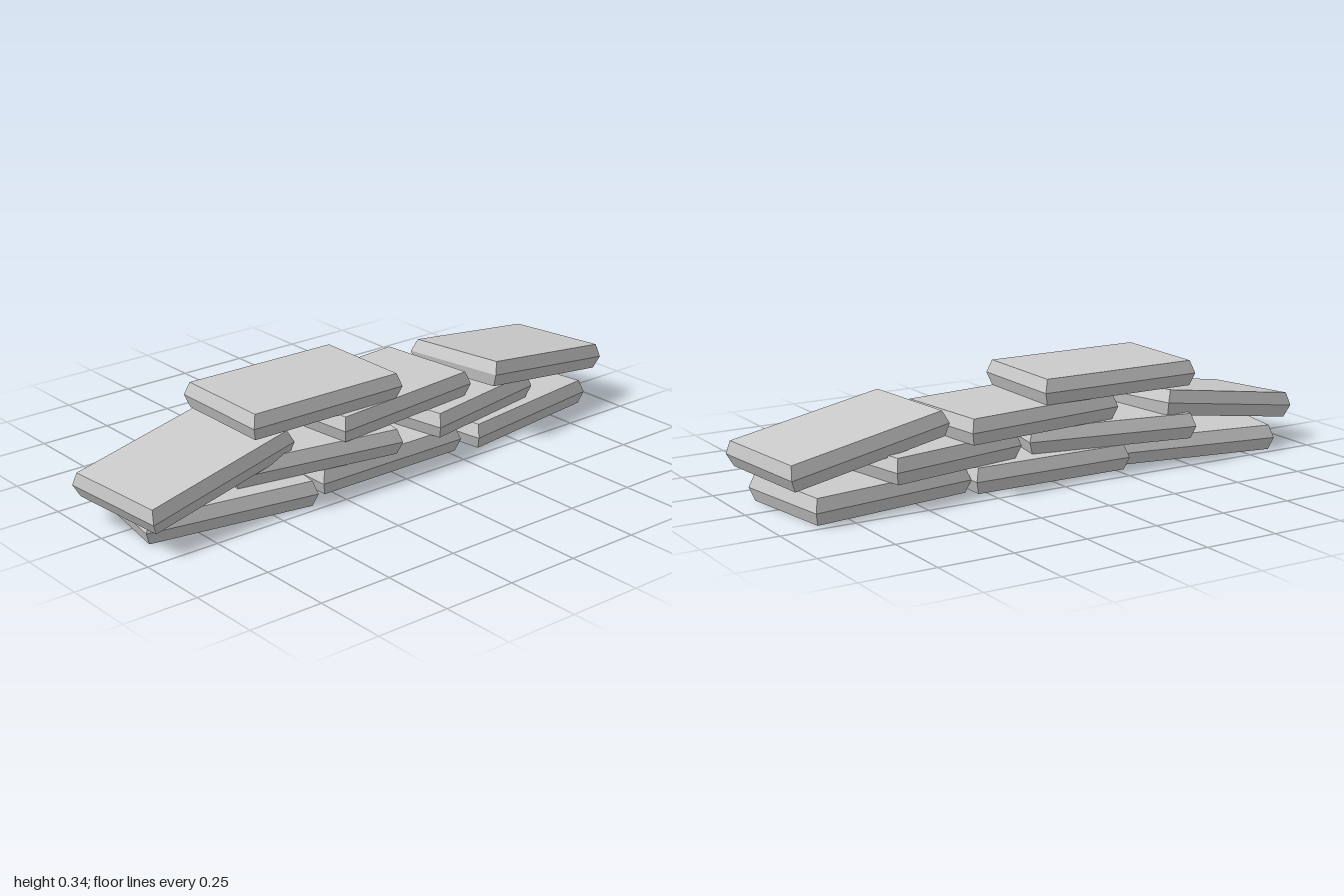
import * as THREE from 'three';

const WIDTH = 0.378, HEIGHT = 0.085, INSET = 0.014;

// Open-bottomed bag shell: three rectangular rings (the middle one widest) and a flat top.
function bagGeometry(length) {
  const ring = (y, inset) => {
    const x = length / 2 - inset, z = WIDTH / 2 - inset;
    return [[-x, y, z], [x, y, z], [x, y, -z], [-x, y, -z]];
  };
  const rings = [ring(-HEIGHT / 2, INSET), ring(0, 0), ring(HEIGHT / 2, INSET)];
  const positions = [];
  const quad = (a, b, c, d) => positions.push(...a, ...b, ...c, ...a, ...c, ...d);
  for (let r = 0; r < 2; r++) {
    for (let i = 0; i < 4; i++) {
      const j = (i + 1) % 4;
      quad(rings[r][i], rings[r][j], rings[r + 1][j], rings[r + 1][i]);
    }
  }
  quad(...rings[2]);
  const geometry = new THREE.BufferGeometry();
  geometry.setAttribute('position', new THREE.Float32BufferAttribute(positions, 3));
  geometry.computeVertexNormals();
  return geometry;
}

export function createModel() {
  const group = new THREE.Group();
  group.name = 'sandbagWall';
  const material = new THREE.MeshStandardMaterial({
    color: 0xcccccc, flatShading: true, side: THREE.DoubleSide,
  });
  const layer = (n) => HEIGHT * (n + 0.5);

  // name, length, centre, yaw, tilt along the length, roll across the width
  const bags = [
    ['bottomBagRight', 0.585, [-0.607, layer(0), 0], -0.17, 0, 0],
    ['bottomBagMiddle', 0.585, [0, layer(0), 0], 0, 0, 0],
    ['bottomBagLeft', 0.587, [0.607, layer(0), -0.004], 0.137, 0, 0],
    ['secondBagRight', 0.597, [-0.267, layer(1), 0], -0.18, 0, 0],
    ['secondBagLeft', 0.507, [0.382, layer(1), -0.003], 0.175, 0, 0],
    ['thirdBag', 0.593, [0.05, layer(2), -0.003], 0.105, 0, 0],
    ['topBag', 0.587, [-0.262, layer(3), 0], -0.012, 0, 0],
    ['leaningBagRight', 0.585, [-0.69, 0.162, 0], 0.12, 0.16, 0.04],
    ['leaningBagLeft', 0.587, [0.682, 0.2, -0.005], 0.125, -0.15, -0.02],
  ];
  for (const [name, length, centre, yaw, tilt, roll] of bags) {
    const bag = new THREE.Mesh(bagGeometry(length), material);
    bag.name = name;
    bag.position.set(...centre);
    bag.rotation.set(roll, yaw, tilt, 'YXZ');
    group.add(bag);
  }
  return group;
}
